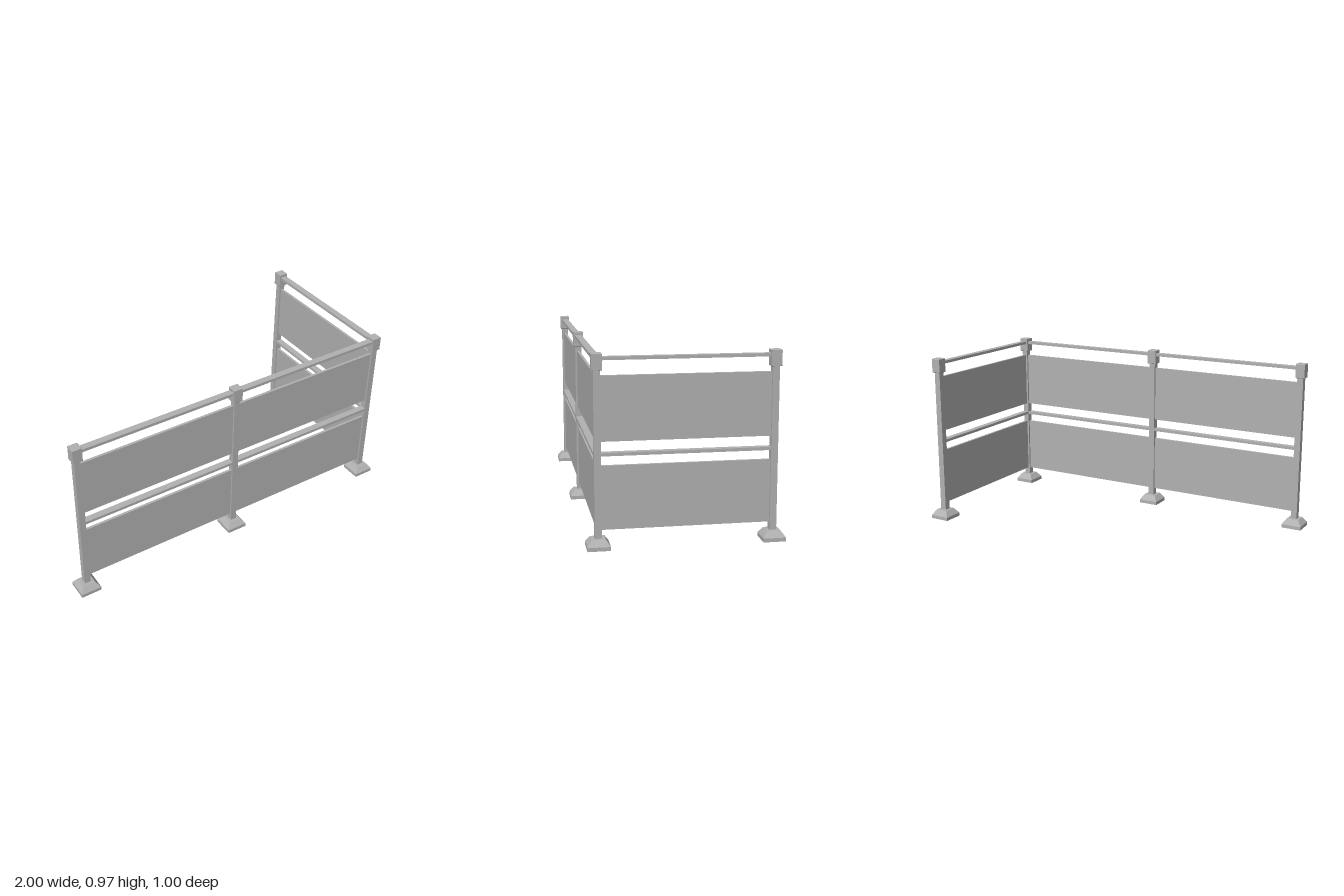
import * as THREE from 'three';

const POST = 0.035; // post thickness
const X = 0.942, Z = 0.442; // post centre offsets

// Hollow square foot: a profile of [half width, height] run along four flat sides
function footGeometry() {
  const profile = [[0.058, 0], [0.058, 0.02], [0.035, 0.052], [POST / 2, 0.052]];
  const pos = [], index = [];
  for (let side = 0; side < 4; side++) {
    const c = Math.round(Math.cos(side * Math.PI / 2)), s = Math.round(Math.sin(side * Math.PI / 2));
    const start = pos.length / 3;
    for (const [r, y] of profile) {
      for (const u of [-r, r]) pos.push(u * c + r * s, y, -u * s + r * c);
    }
    for (let i = 0; i < profile.length - 1; i++) {
      const a = start + i * 2;
      index.push(a, a + 1, a + 3, a, a + 3, a + 2);
    }
  }
  const g = new THREE.BufferGeometry();
  g.setAttribute('position', new THREE.Float32BufferAttribute(pos, 3));
  g.setIndex(index);
  const flat = g.toNonIndexed();
  flat.computeVertexNormals();
  return flat;
}

// Square cap block with a fine bevel around its top edge
function capGeometry() {
  const h = 0.0265, s = new THREE.Shape();
  s.moveTo(-h, -h).lineTo(h, -h).lineTo(h, h).lineTo(-h, h).closePath();
  const g = new THREE.ExtrudeGeometry(s, {
    depth: 0.078, bevelThickness: 0.002, bevelSize: 0.002, bevelOffset: -0.002, bevelSegments: 1,
  });
  return g.rotateX(-Math.PI / 2).translate(0, 0.887, 0);
}

export function createModel() {
  const model = new THREE.Group();
  model.name = 'cornerRailing';
  const metal = new THREE.MeshStandardMaterial({ color: 0xb2b2b2 });
  metal.name = 'grey metal';
  metal.side = THREE.DoubleSide;

  const add = (parent, name, geometry, y = 0) => {
    const mesh = new THREE.Mesh(geometry, metal);
    mesh.name = name;
    mesh.position.y = y;
    parent.add(mesh);
  };

  // Posts with feet and caps
  const foot = footGeometry(), cap = capGeometry();
  const shaft = new THREE.BoxGeometry(POST, 0.86, POST);
  for (const [x, z] of [[-X, Z], [0, Z], [X, Z], [X, -Z]]) {
    const post = new THREE.Group();
    post.name = 'post';
    post.position.set(x, 0, z);
    add(post, 'shaft', shaft, 0.475);
    add(post, 'foot', foot);
    add(post, 'cap', cap);
    model.add(post);
  }

  // Bays between posts: two flat rails and two thin panels each
  const bay = (name, x, z, span, turn) => {
    const group = new THREE.Group();
    group.name = name;
    group.position.set(x, 0, z);
    group.rotation.y = turn;
    const length = span - POST;
    const rail = new THREE.BoxGeometry(length, 0.016, 0.037);
    const panel = new THREE.BoxGeometry(length, 0.323, 0.014);
    add(group, 'topRail', rail, 0.941);
    add(group, 'upperPanel', panel, 0.6965);
    add(group, 'middleRail', rail, 0.473);
    add(group, 'lowerPanel', panel, 0.2545);
    model.add(group);
  };
  bay('frontRightBay', -X / 2, Z, X, 0);
  bay('frontLeftBay', X / 2, Z, X, 0);
  bay('sideBay', X, 0, Z * 2, Math.PI / 2);

  return model;
}
